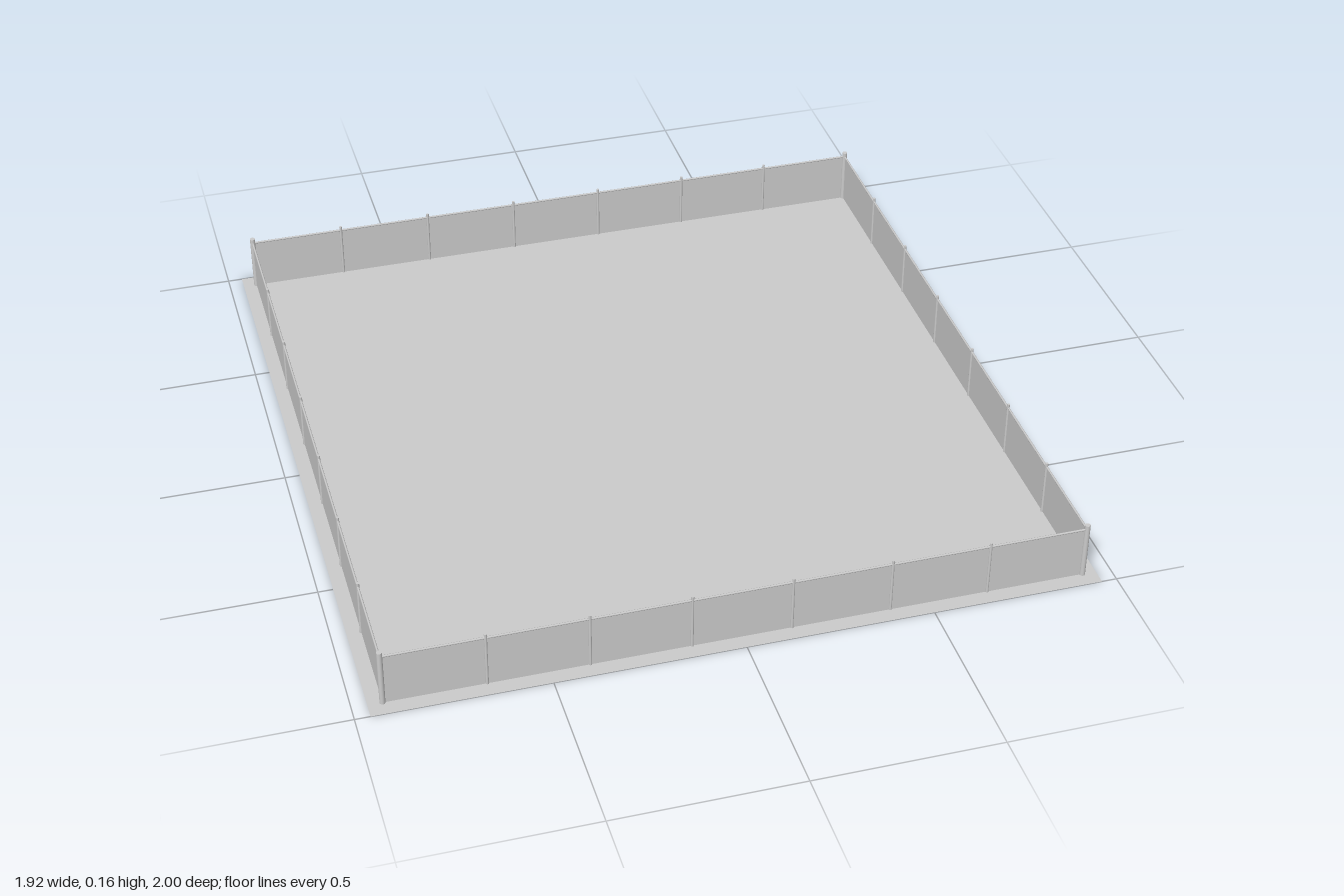
import * as THREE from 'three';

const HALF_X = 0.922, HALF_Z = 0.958;   // fence centre lines
const WALL_H = 0.148, POST_H = 0.16, BAYS = 7;

export function createModel() {
  const model = new THREE.Group();
  model.name = 'fencedYard';
  const material = new THREE.MeshStandardMaterial({ color: 0xcccccc });
  const thin = new THREE.MeshStandardMaterial({ color: 0xcccccc, side: THREE.DoubleSide });

  const add = (parent, name, geometry, x, y, z, mat = material) => {
    const mesh = new THREE.Mesh(geometry, mat);
    mesh.name = name;
    mesh.position.set(x, y, z);
    parent.add(mesh);
    return mesh;
  };

  // flat ground sheet, a little wider than the fence
  add(model, 'ground', new THREE.PlaneGeometry(1.92, 2).rotateX(-Math.PI / 2), 0, 0, 0, thin);

  const postGeo = new THREE.CylinderGeometry(0.004, 0.004, POST_H, 8);
  const cornerGeo = new THREE.CylinderGeometry(0.0075, 0.0075, POST_H + 0.002, 12);

  // one straight run of fence: sheet, top rail and intermediate posts
  const addSide = (name, length, distance, angle) => {
    const side = new THREE.Group();
    side.name = name;
    add(side, 'panel', new THREE.PlaneGeometry(length, WALL_H), 0, WALL_H / 2, 0, thin);
    const rail = new THREE.CylinderGeometry(0.003, 0.003, length, 8).rotateZ(Math.PI / 2);
    add(side, 'topRail', rail, 0, WALL_H, 0);
    for (let i = 1; i < BAYS; i++) {
      add(side, 'post', postGeo, (i / BAYS - 0.5) * length, POST_H / 2, 0);
    }
    side.rotation.y = angle;
    side.position.set(Math.sin(angle) * distance, 0, Math.cos(angle) * distance);
    model.add(side);
  };
  addSide('frontFence', 2 * HALF_X, HALF_Z, 0);
  addSide('leftFence', 2 * HALF_Z, HALF_X, Math.PI / 2);
  addSide('backFence', 2 * HALF_X, HALF_Z, Math.PI);
  addSide('rightFence', 2 * HALF_Z, HALF_X, -Math.PI / 2);

  // thicker posts at the corners
  for (const sx of [-1, 1]) {
    for (const sz of [-1, 1]) {
      add(model, 'cornerPost', cornerGeo, sx * HALF_X, POST_H / 2 + 0.001, sz * HALF_Z);
    }
  }
  return model;
}
